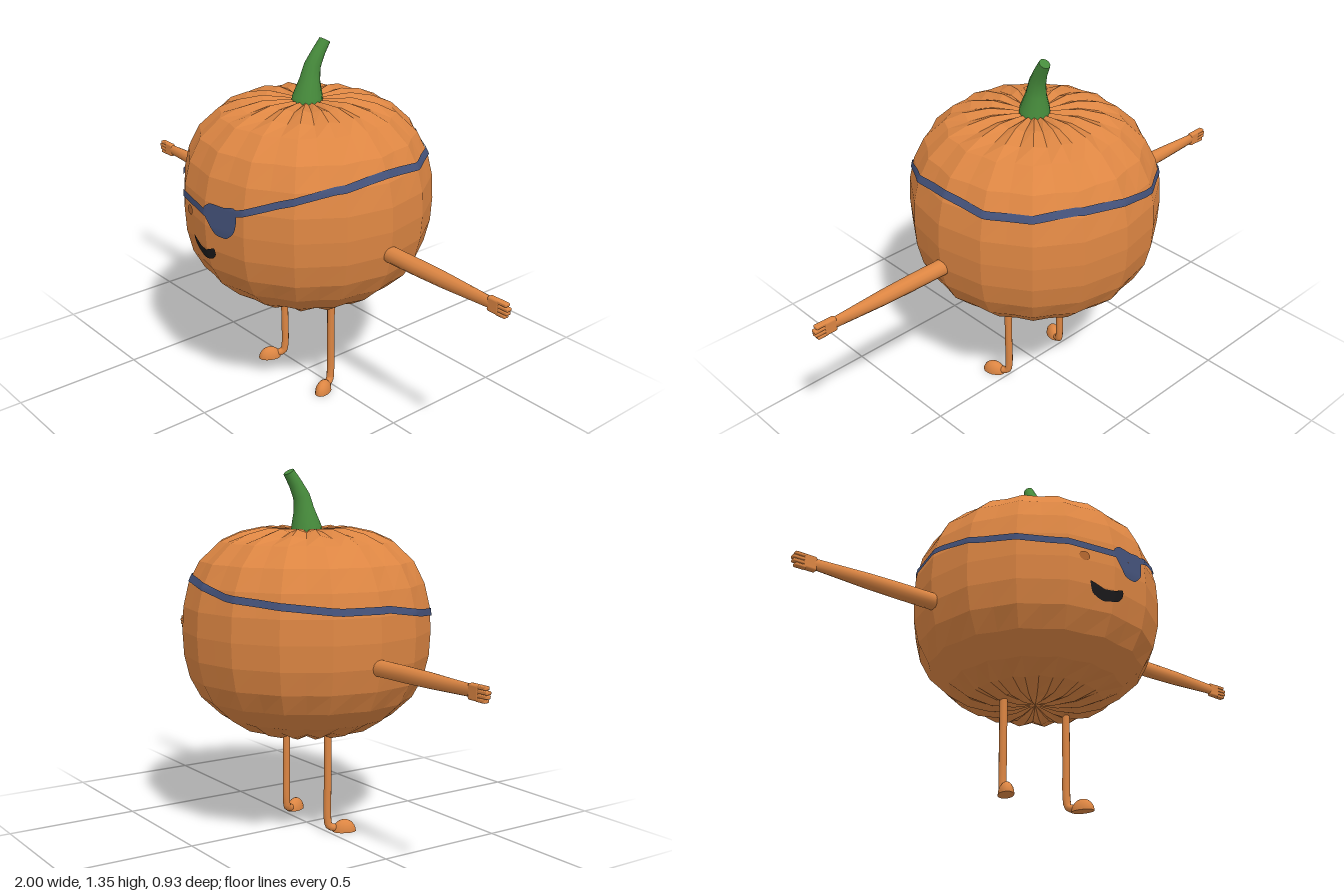
import * as THREE from 'three';
import { RoundedBoxGeometry } from 'three/addons/geometries/RoundedBoxGeometry.js';

const COLS = 32;
// Body profile from bottom to top: [radius, height]
const PROFILE = [[0, 0.385], [0.08, 0.368], [0.165, 0.367], [0.25, 0.392], [0.325, 0.44], [0.4, 0.51], [0.44, 0.585],
  [0.46, 0.67], [0.465, 0.76], [0.46, 0.85], [0.44, 0.935], [0.4, 1.015], [0.325, 1.085], [0.25, 1.118],
  [0.165, 1.136], [0.08, 1.132], [0, 1.12]];
const MID = 0.752;

// Odd columns are the grooves: flat at the waist, deeper towards the poles
const groove = (y) => 0.981 - 0.05 * Math.max(0, Math.abs(y - MID) / 0.385 - 0.4);
const column = (i, r, y) => {
  const a = (i / COLS) * Math.PI * 2, k = i % 2 ? r * groove(y) : r;
  return new THREE.Vector3(k * Math.sin(a), y, k * Math.cos(a));
};

// Point lying just above the faceted body at a given angle and height
function onBody(angle, y, lift = 0.005) {
  let j = 0;
  while (j < PROFILE.length - 2 && PROFILE[j + 1][1] < y) j++;
  const [r0, y0] = PROFILE[j], [r1, y1] = PROFILE[j + 1];
  const t = (y - y0) / (y1 - y0);
  const f = ((angle / (Math.PI * 2)) * COLS + COLS * 2) % COLS, i = Math.floor(f);
  const at = (c) => column(c, r0, y0).lerp(column(c, r1, y1), t);
  const a = at(i), b = at(i + 1);
  // intersect the chord with the ray of this angle
  const dx = Math.sin(angle), dz = Math.cos(angle), ex = b.x - a.x, ez = b.z - a.z;
  const r = (a.x * ez - a.z * ex) / (dx * ez - dz * ex) + lift;
  return new THREE.Vector3(r * dx, y, r * dz);
}

function build(points, index, flat = false) {
  let g = new THREE.BufferGeometry().setFromPoints(points);
  g.setIndex(index);
  if (flat) g = g.toNonIndexed();
  g.computeVertexNormals();
  return g;
}

function bodyGeometry() {
  const pts = [], idx = [], rows = PROFILE.length;
  PROFILE.forEach(([r, y]) => {
    const dip = r > 0.05 && r < 0.3 ? 0.012 * Math.sign(y - MID) : 0;
    for (let i = 0; i < COLS; i++) {
      const p = column(i, r, y);
      if (i % 2) p.y -= dip;
      pts.push(p);
    }
  });
  for (let j = 0; j < rows - 1; j++) for (let i = 0; i < COLS; i++) {
    const n = (i + 1) % COLS;
    const a = j * COLS + i, b = j * COLS + n, c = a + COLS, d = b + COLS;
    if (j > 0) idx.push(a, b, d);
    if (j < rows - 2) idx.push(a, d, c);
    else idx.pop(), idx.pop(), idx.pop(), idx.push(a, b, c);
  }
  return build(pts, idx, true);
}

// Joins elliptical rings [centre, u, v]; u x v points along the path
function loft(rings, sides = 12) {
  const pts = [], idx = [];
  rings.forEach(([c, u, v]) => {
    for (let i = 0; i < sides; i++) {
      const a = (i / sides) * Math.PI * 2;
      pts.push(c.clone().addScaledVector(u, Math.cos(a)).addScaledVector(v, Math.sin(a)));
    }
  });
  for (let j = 0; j < rings.length - 1; j++) for (let i = 0; i < sides; i++) {
    const n = (i + 1) % sides, a = j * sides + i, b = j * sides + n;
    idx.push(a, b, b + sides, a, b + sides, a + sides);
  }
  // flat end with its own vertices
  const start = pts.length, last = start - sides;
  for (let i = 0; i < sides; i++) pts.push(pts[last + i].clone());
  for (let i = 1; i < sides - 1; i++) idx.push(start, start + i, start + i + 1);
  return build(pts, idx);
}

// Thin painted patch on the front, filled from its centre outwards
function decal(outline, lift) {
  const curve = new THREE.CatmullRomCurve3(outline.map(([x, y]) => new THREE.Vector3(x, y, 0)), true, 'catmullrom', 0.35);
  const edge = curve.getPoints(48).slice(0, 48);
  const mid = edge.reduce((s, p) => s.add(p), new THREE.Vector3()).divideScalar(48);
  const pts = [], idx = [], N = 48, RINGS = 8;
  for (let k = 0; k <= RINGS; k++) edge.forEach((p) => {
    const q = mid.clone().lerp(p, Math.max(k / RINGS, 0.01));
    pts.push(onBody(Math.asin(q.x / 0.46), q.y, lift));
  });
  for (let k = 0; k < RINGS; k++) for (let i = 0; i < N; i++) {
    const n = (i + 1) % N, a = k * N + i, b = k * N + n;
    idx.push(a, a + N, b + N, a, b + N, b);
  }
  return build(pts, idx);
}

// Band around the body: [degrees from the front towards the left, height]
function strapGeometry() {
  const path = [[0, 0.81], [20, 0.845], [38, 0.893], [47, 0.913], [63, 0.94], [90, 0.964], [115, 0.943], [135, 0.945],
    [155, 0.958], [180, 0.94], [197, 0.912], [215, 0.9], [252, 0.872], [275, 0.872], [299, 0.842], [330, 0.82], [360, 0.81]];
  const pts = [], idx = [], N = 320, ROWS = 4;
  for (let i = 0; i <= N; i++) {
    const deg = (i / N) * 360;
    const k = Math.max(1, path.findIndex((p) => p[0] >= deg));
    const [d0, y0] = path[k - 1], [d1, y1] = path[k];
    const y = y0 + ((y1 - y0) * (deg - d0)) / (d1 - d0);
    for (let j = 0; j <= ROWS; j++) pts.push(onBody((deg * Math.PI) / 180, y + (j / ROWS - 0.5) * 0.026));
  }
  const S = ROWS + 1;
  for (let i = 0; i < N; i++) for (let j = 0; j < ROWS; j++) {
    const a = i * S + j, b = a + S;
    idx.push(a, b, b + 1, a, b + 1, a + 1);
  }
  return build(pts, idx);
}

export function createModel() {
  const mat = (name, color) => Object.assign(new THREE.MeshStandardMaterial({ color }), { name });
  const orange = mat('pumpkinOrange', 0xdd8643);
  const green = mat('stemGreen', 0x478c3c);
  const blue = mat('patchBlue', 0x44527a);
  const black = mat('mouthBlack', 0x1c1b1d);
  const brown = mat('eyeBrown', 0xb2662f);
  [blue, black, brown].forEach((m) => { m.side = THREE.DoubleSide; });
  const model = new THREE.Group();
  model.name = 'pumpkinFigure';
  const add = (parent, name, geo, material) => {
    const m = new THREE.Mesh(geo, material);
    m.name = name;
    parent.add(m);
    return m;
  };
  const V = (x, y, z) => new THREE.Vector3(x, y, z);

  add(model, 'body', bodyGeometry(), orange);

  // Curved, tapering stem: [x, y, z, radius, backward tilt]
  const stem = [[0, 1.115, 0, 0.058, 0], [0, 1.14, 0, 0.056, 0], [0.002, 1.2, -0.01, 0.038, 0.15], [0.005, 1.25, -0.02, 0.031, 0.35],
    [0.011, 1.295, -0.042, 0.025, 0.5], [0.017, 1.337, -0.067, 0.021, 0.55]];
  add(model, 'stem', loft(stem.map(([x, y, z, r, t]) =>
    [V(x, y, z), V(0, r * Math.sin(t), r * Math.cos(t)), V(r, 0, 0)])), green);

  // Face and eye patch
  add(model, 'strap', strapGeometry(), blue);
  add(model, 'eyePatch', decal([[0, 0.83], [0.03, 0.85], [0.09, 0.85], [0.138, 0.858], [0.15, 0.825], [0.14, 0.772],
    [0.105, 0.738], [0.055, 0.74], [0.025, 0.772], [0, 0.805]], 0.006), blue);
  add(model, 'mouth', decal([[-0.096, 0.684], [-0.055, 0.664], [0, 0.665], [0.04, 0.68], [0.043, 0.655], [0.02, 0.632],
    [-0.04, 0.621], [-0.085, 0.642]], 0.004), black);
  add(model, 'eye', decal(Array.from({ length: 8 }, (_, i) =>
    [-0.118 + 0.02 * Math.cos(i * Math.PI / 4), 0.774 + 0.018 * Math.sin(i * Math.PI / 4)]), 0.004), brown);

  for (const [side, s] of [['left', 1], ['right', -1]]) {
    const limbs = new THREE.Group();
    limbs.name = side + 'Limbs';
    limbs.scale.x = s;
    model.add(limbs);

    // Arm: [x, half height, half depth]
    const arm = [[0.38, 0.031, 0.03], [0.6, 0.03, 0.029], [0.72, 0.028, 0.026], [0.83, 0.024, 0.019], [0.925, 0.021, 0.012]];
    add(limbs, 'arm', loft(arm.map(([x, h, d]) => [V(x, 0.672, 0), V(0, h, 0), V(0, 0, d)])), orange);
    add(limbs, 'palm', new RoundedBoxGeometry(0.05, 0.054, 0.024, 2, 0.008), orange).position.set(0.937, 0.67, 0);
    for (let i = 0; i < 4; i++) {
      const length = [0.042, 0.05, 0.048, 0.04][i];
      add(limbs, 'finger', new RoundedBoxGeometry(length, 0.0125, 0.022, 2, 0.004), orange)
        .position.set(0.95 + length / 2, 0.69 - i * 0.0137, 0);
    }

    // Leg and outward-turned foot
    const leg = new THREE.Group();
    leg.name = 'leg';
    leg.position.x = 0.142;
    leg.rotation.y = 0.42;
    limbs.add(leg);
    const path = new THREE.CatmullRomCurve3([V(0, 0.42, 0), V(0, 0.2, 0), V(0, 0.05, 0), V(0, 0.024, 0.006), V(0, 0.016, 0.025), V(0, 0.016, 0.06)]);
    add(leg, 'shin', new THREE.TubeGeometry(path, 40, 0.0145, 10), orange);
    const foot = add(leg, 'foot', new THREE.SphereGeometry(1, 14, 6, 0, Math.PI * 2, 0, Math.PI / 2), orange);
    foot.scale.set(0.028, 0.046, 0.045);
    foot.position.set(0, 0, 0.064);
    const sole = add(leg, 'sole', new THREE.CircleGeometry(1, 14).rotateX(Math.PI / 2), orange);
    sole.scale.set(0.028, 1, 0.045);
    sole.position.set(0, 0, 0.064);
  }
  return model;
}
